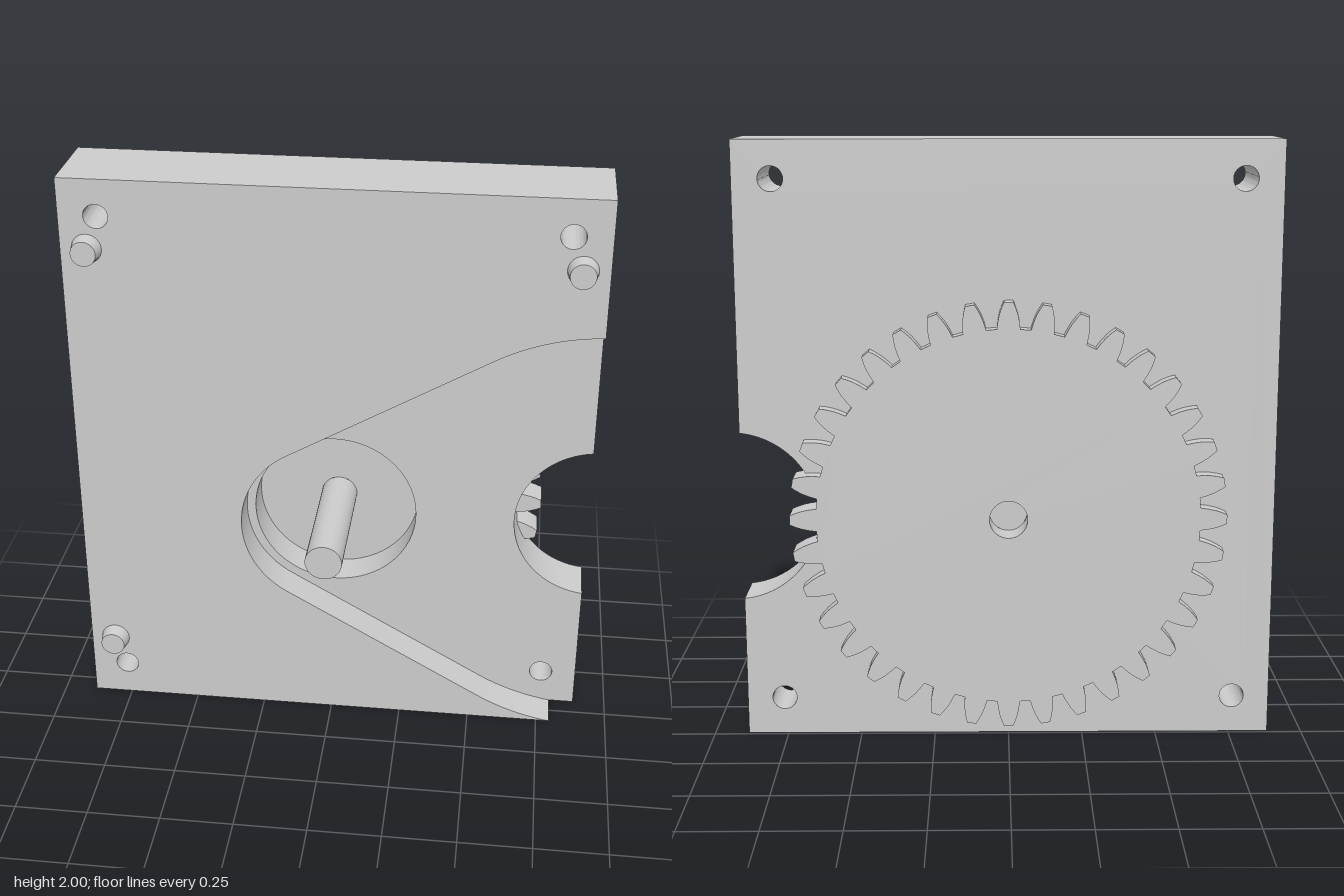
import * as THREE from 'three';
import { toCreasedNormals } from 'three/addons/utils/BufferGeometryUtils.js';

const W = 0.885, H = 2, CY = 0.763;             // half width, height, axle height
const FRONT = 0.063, RECESS = -0.063, FLOOR = -0.19, BACK = -0.24, GEAR_BACK = -0.29;
const CX2 = 0.915, NOTCH_R = 0.285;             // neighbouring axle just beyond the edge
const material = new THREE.MeshStandardMaterial({ color: 0xcccccc });

function addMesh(group, name, geometry) {
  const mesh = new THREE.Mesh(geometry, material);
  mesh.name = name;
  group.add(mesh);
  return mesh;
}

// Extrude a shape between two z levels, smooth on curves and sharp on edges
function slab(shape, z0, z1) {
  const g = new THREE.ExtrudeGeometry(shape, { depth: z1 - z0, bevelEnabled: false, curveSegments: 32 });
  g.translate(0, 0, z0);
  return toCreasedNormals(g, 0.4);
}

function addHole(shape, x, y, r) {
  const p = new THREE.Path();
  p.absarc(x, y, r, 0, Math.PI * 2, true);
  shape.holes.push(p);
}

// Corner screw holes; the lower left one lies inside the recess
function addScrewHoles(shape, all) {
  for (const x of [-0.76, 0.76])
    for (const y of [0.128, 1.875])
      if (all || x < 0 || y > 1) addHole(shape, x, y, 0.041);
}

// Front layer: outline cut away by the hull of a small and a large circle
function frontShape() {
  const r = 0.316, R = 0.772;
  const tangent = Math.acos((r - R) / CX2);
  const bottom = Math.PI + Math.asin(CY / R);
  const top = Math.acos((W - CX2) / R);
  const s = new THREE.Shape();
  s.moveTo(-W, 0);
  s.lineTo(CX2 + R * Math.cos(bottom), 0);
  s.absarc(CX2, CY, R, bottom, 2 * Math.PI - tangent, true);
  s.absarc(0, CY, r, 2 * Math.PI - tangent, tangent, true);
  s.absarc(CX2, CY, R, tangent, top, true);
  s.lineTo(W, H);
  s.lineTo(-W, H);
  s.closePath();
  addScrewHoles(s, false);
  return s;
}

// Rear layers: full outline with the round notch in the side
function rearShape(centreHole) {
  const a = Math.acos((CX2 - W) / NOTCH_R);
  const s = new THREE.Shape();
  s.moveTo(-W, 0);
  s.lineTo(W, 0);
  s.absarc(CX2, CY, NOTCH_R, Math.PI + a, Math.PI - a, true);
  s.lineTo(W, H);
  s.lineTo(-W, H);
  s.closePath();
  addScrewHoles(s, true);
  addHole(s, 0, CY, centreHole);
  return s;
}

// Spur gear outline, one tooth profile repeated around the axle
function gearShape(teeth) {
  const flank = [[0.635, 0.06], [0.66, 0.053], [0.684, 0.0436], [0.705, 0.032], [0.722, 0.021]];
  const profile = [
    ...flank.map(([r, a]) => [r, -a]),
    ...flank.slice().reverse(),
  ];
  const pts = [];
  for (let i = 0; i < teeth; i++)
    for (const [r, a] of profile) {
      const t = (i / teeth) * Math.PI * 2 + a;
      pts.push(new THREE.Vector2(r * Math.cos(t), CY + r * Math.sin(t)));
    }
  const s = new THREE.Shape(pts);
  addHole(s, 0, CY, 0.063);
  return s;
}

// Round pin along z, running from z0 to z1
function pin(r0, r1, z0, z1) {
  const g = new THREE.CylinderGeometry(r1, r0, z1 - z0, 40);
  g.rotateX(Math.PI / 2);
  g.translate(0, 0, (z0 + z1) / 2);
  return g;
}

export function createModel() {
  const model = new THREE.Group();
  model.name = 'gearPlate';

  const plate = new THREE.Group();
  plate.name = 'plate';
  model.add(plate);
  addMesh(plate, 'frontLayer', slab(frontShape(), RECESS, FRONT));
  addMesh(plate, 'pocketLayer', slab(rearShape(0.285), FLOOR, RECESS));
  addMesh(plate, 'backLayer', slab(rearShape(0.063), BACK, FLOOR));

  addMesh(model, 'gear', slab(gearShape(36), GEAR_BACK, FLOOR));

  addMesh(model, 'shaft', pin(0.063, 0.063, FLOOR, 0.29)).position.y = CY;

  // Tapered locating pegs on the front face
  for (const [x, y] of [[-0.797, 1.763], [0.797, 1.763], [-0.797, 0.242]])
    addMesh(model, 'locatingPeg', pin(0.05, 0.042, FRONT, 0.113)).position.set(x, y, 0);

  return model;
}
